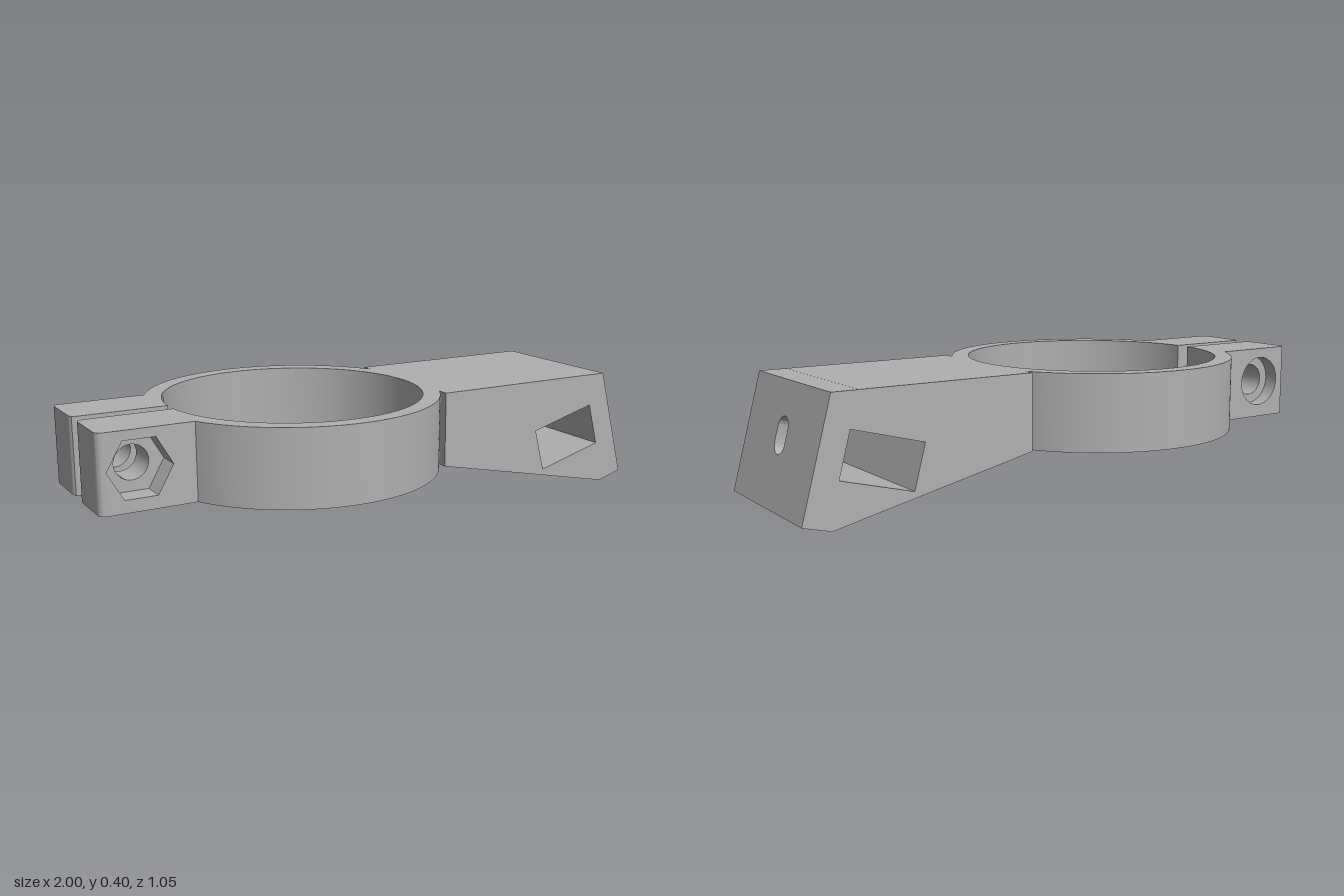
import * as THREE from 'three';
import { toCreasedNormals } from 'three/addons/utils/BufferGeometryUtils.js';

const BOTTOM = 0.15, TOP = 0.4;   // height range of ring and ears
const GAP = 0.025;                // half width of the clamp slit
const TILT = Math.PI / 12;

const polygon = (pts) => new THREE.Shape(pts.map(([x, y]) => new THREE.Vector2(x, y)));

function regularHole(x, y, r, sides) {
  const pts = [];
  for (let i = 0; i < sides; i++) {
    const a = (i / sides) * Math.PI * 2;
    pts.push(new THREE.Vector2(x + r * Math.cos(a), y + r * Math.sin(a)));
  }
  return new THREE.Path(pts);
}

// Split ring, extruded upward
function ringGeometry() {
  const outer = 0.485, inner = 0.428;
  const ao = Math.PI - Math.asin(GAP / outer), ai = Math.PI - Math.asin(GAP / inner);
  const shape = new THREE.Shape();
  shape.absarc(0, 0, outer, -ao, ao, false);
  shape.absarc(0, 0, inner, ai, -ai, true);
  const geo = new THREE.ExtrudeGeometry(shape, { depth: TOP - BOTTOM, bevelEnabled: false, curveSegments: 96 });
  geo.rotateX(-Math.PI / 2).translate(0, BOTTOM, 0);
  return toCreasedNormals(geo, 0.5);
}

// One slice of a clamp ear between z0 and z1; the free end is rounded toward both ear faces
function earSlice(z0, z1, holeRadius, holeSides, earMin, earMax) {
  const end = -0.738, root = -0.43, r = 0.022;
  const shape = polygon([[end, BOTTOM], [root, BOTTOM], [root, TOP], [end, TOP]]);
  shape.holes.push(regularHole(-0.61, 0.28, holeRadius, holeSides));
  const geo = new THREE.ExtrudeGeometry(shape, { depth: z1 - z0, bevelEnabled: false, steps: 20 });
  geo.translate(0, 0, z0);
  const p = geo.attributes.position;
  for (let i = 0; i < p.count; i++) {
    if (p.getX(i) > end + 1e-4) continue;
    const d = Math.max(0, Math.min(p.getZ(i) - earMin, earMax - p.getZ(i)));
    if (d < r) p.setX(i, end + r - Math.sqrt(r * r - (r - d) ** 2));
  }
  return toCreasedNormals(geo, 0.5);
}

// Arm with its side window left open toward the end wall
function armGeometry() {
  const shape = polygon([
    [0.43, 0.15], [1.12, 0], [1.13, 0.0035], [1.0925, 0.145], [0.851, 0.08],
    [0.8125, 0.224], [1.054, 0.289], [1.024, 0.4], [0.43, 0.4],
  ]);
  const geo = new THREE.ExtrudeGeometry(shape, { depth: 0.528, bevelEnabled: false });
  return geo.translate(0, 0, -0.264);
}

// Tilted end wall with an upright slot, its top cut level with the arm
function endWallGeometry() {
  const t = 0.083, h = 0.388, w = 0.264, r = 0.036, cy = 0.223, half = 0.022;
  const shape = polygon([[-w, 0], [w, 0], [w, h], [-w, h]]);
  const slot = new THREE.Path();
  slot.absarc(0, cy + half, r, 0, Math.PI, false);
  slot.absarc(0, cy - half, r, Math.PI, Math.PI * 2, false);
  shape.holes.push(slot);
  const geo = new THREE.ExtrudeGeometry(shape, { depth: t, bevelEnabled: false, curveSegments: 16 });
  const p = geo.attributes.position;
  for (let i = 0; i < p.count; i++) {
    if (p.getY(i) > h - 1e-4 && p.getZ(i) < 1e-4) p.setY(i, h + t * Math.tan(TILT));
  }
  geo.rotateY(Math.PI / 2).rotateZ(TILT).translate(1.13, 0.0035, 0);
  return toCreasedNormals(geo, 0.5);
}

export function createModel() {
  const grey = new THREE.MeshStandardMaterial({ color: 0xb0b0b0 });
  grey.name = 'plain grey';
  const model = new THREE.Group();
  model.name = 'clampBracket';

  // Everything is built along x, then swung about the ring centre
  const bracket = new THREE.Group();
  bracket.name = 'bracket';
  bracket.position.set(-0.24, 0, 0.04);
  bracket.rotation.y = TILT;
  model.add(bracket);

  const add = (name, geo, parent = bracket) => {
    const mesh = new THREE.Mesh(geo, grey);
    mesh.name = name;
    parent.add(mesh);
  };

  add('clampRing', ringGeometry());
  add('arm', armGeometry());
  add('armEndWall', endWallGeometry());

  // Front ear holds a hexagonal nut pocket, back ear a round bolt head recess
  const out = 0.215;
  const frontEar = new THREE.Group(), backEar = new THREE.Group();
  frontEar.name = 'frontEar';
  backEar.name = 'backEar';
  bracket.add(frontEar, backEar);
  add('frontEarBoltHole', earSlice(GAP, 0.135, 0.055, 32, GAP, out), frontEar);
  add('frontEarNutPocket', earSlice(0.135, out, 0.103, 6, GAP, out), frontEar);
  add('backEarBoltHole', earSlice(-0.165, -GAP, 0.055, 32, -out, -GAP), backEar);
  add('backEarHeadRecess', earSlice(-out, -0.165, 0.087, 40, -out, -GAP), backEar);

  return model;
}
